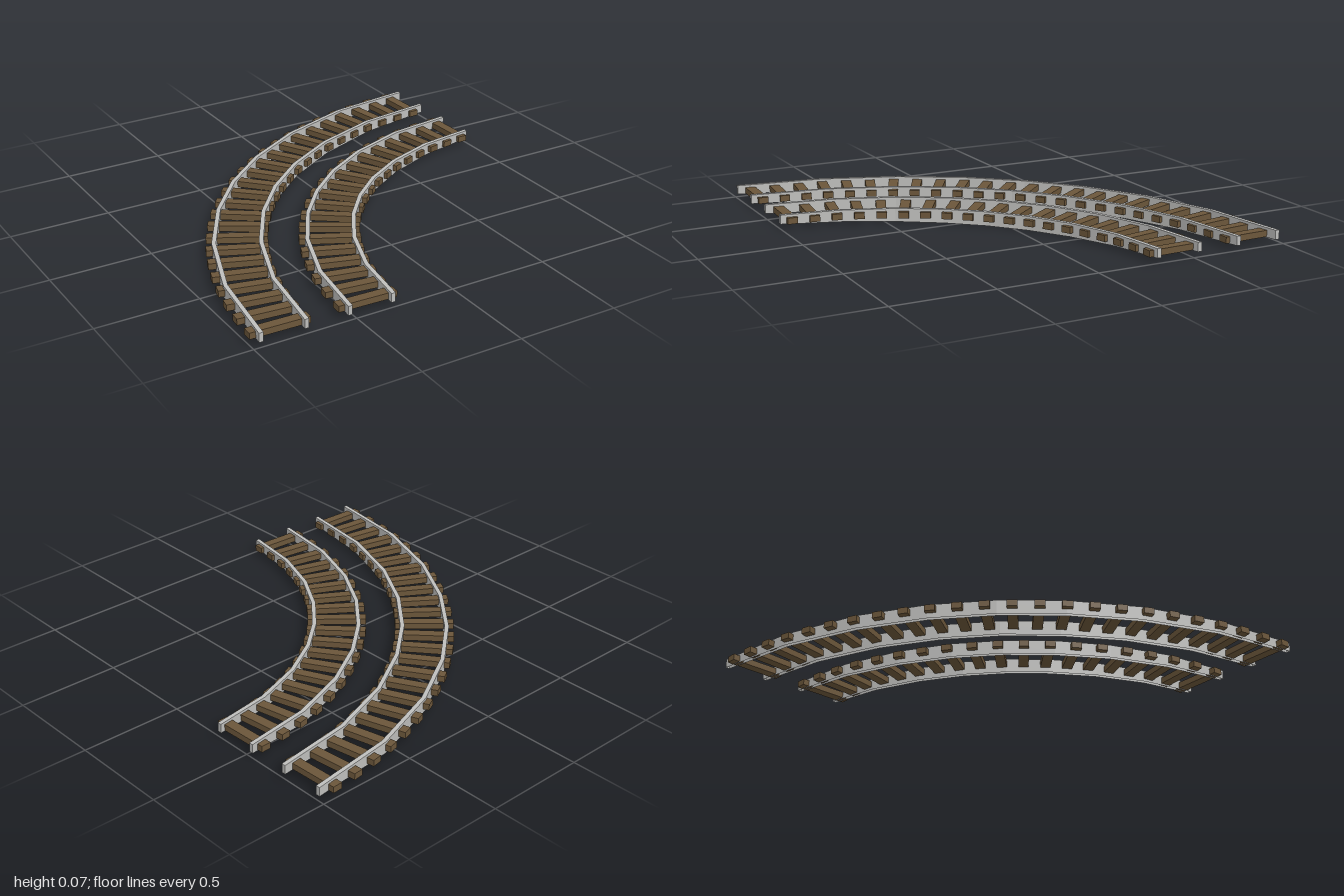
import * as THREE from 'three';

const QUARTER = Math.PI / 2;
const DEG = Math.PI / 180;

// Point on the quarter bend, whose centre is the corner x = 1, z = 1
const onBend = (r, a, y) => [1 - r * Math.cos(a), y, 1 - r * Math.sin(a)];

// The bend is slightly flatter than a true circle: 0 at its ends, 1 in the middle
const flatten = (a) => Math.pow(Math.max(0, Math.sin(2 * a)), 0.7);
const FLATNESS = 0.02;

// Faceted rail: a channel, open below, swept round the bend and deeper in the middle
function railGeometry(radius, segments = 8, width = 0.021) {
  const sections = [];
  for (let i = 0; i <= segments; i++) {
    const u = QUARTER * i / segments;
    const a = u + 2.4 * DEG * Math.sin(4 * u); // longer facets at the ends
    const r = radius - FLATNESS * flatten(a);
    const bottom = 0.025 * Math.pow(Math.max(0, 1 - Math.sin(2 * a)), 1.3);
    const inner = r - width / 2, outer = r + width / 2;
    sections.push([
      onBend(outer, a, bottom), onBend(outer, a, 0.07),
      onBend(inner, a, 0.07), onBend(inner, a, bottom),
    ]);
  }
  const pos = [];
  const quad = (a, b, c, d) => pos.push(...a, ...b, ...c, ...a, ...c, ...d);
  for (let i = 0; i < segments; i++) {
    const s = sections[i], t = sections[i + 1];
    // outer side, top, inner side
    for (let k = 0; k < 3; k++) quad(s[k], s[k + 1], t[k + 1], t[k]);
  }
  // end caps
  const p = sections[0], q = sections[segments];
  quad(p[3], p[2], p[1], p[0]);
  quad(q[0], q[1], q[2], q[3]);
  const geometry = new THREE.BufferGeometry();
  geometry.setAttribute('position', new THREE.Float32BufferAttribute(pos, 3));
  geometry.computeVertexNormals();
  return geometry;
}

export function createModel() {
  const model = new THREE.Group();
  model.name = 'curvedDoubleTrack';
  const steel = new THREE.MeshStandardMaterial({ name: 'railGrey', color: 0xbebebc, side: THREE.DoubleSide });
  const wood = new THREE.MeshStandardMaterial({ name: 'sleeperBrown', color: 0x6b563a });
  const sleeperGeometry = new THREE.BoxGeometry(0.29, 0.031, 0.05);

  // sleeper angles in degrees: first, spacing, and how quickly the spacing tightens
  const tracks = [
    { name: 'outerTrack', radius: 1.855, sleepers: 24, first: 1.85, step: 3.73, tighten: 0 },
    { name: 'innerTrack', radius: 1.4225, sleepers: 19, first: 2.4, step: 4.92, tighten: 0.0095 },
  ];
  for (const { name, radius, sleepers, first, step, tighten } of tracks) {
    const track = new THREE.Group();
    track.name = name;

    // pair of rails
    for (const [label, side] of [['outerRail', 1], ['innerRail', -1]]) {
      const rail = new THREE.Mesh(railGeometry(radius + side * 0.109), steel);
      rail.name = label;
      track.add(rail);
    }

    // sleepers, each pointing at the centre of the bend
    for (let i = 0; i < sleepers; i++) {
      const a = DEG * (first + step * i - tighten * i * i);
      const sleeper = new THREE.Mesh(sleeperGeometry, wood);
      sleeper.name = 'sleeper';
      sleeper.position.set(...onBend(radius - FLATNESS * Math.sin(2 * a), a, 0.042));
      sleeper.rotation.y = -a;
      track.add(sleeper);
    }
    model.add(track);
  }
  return model;
}
